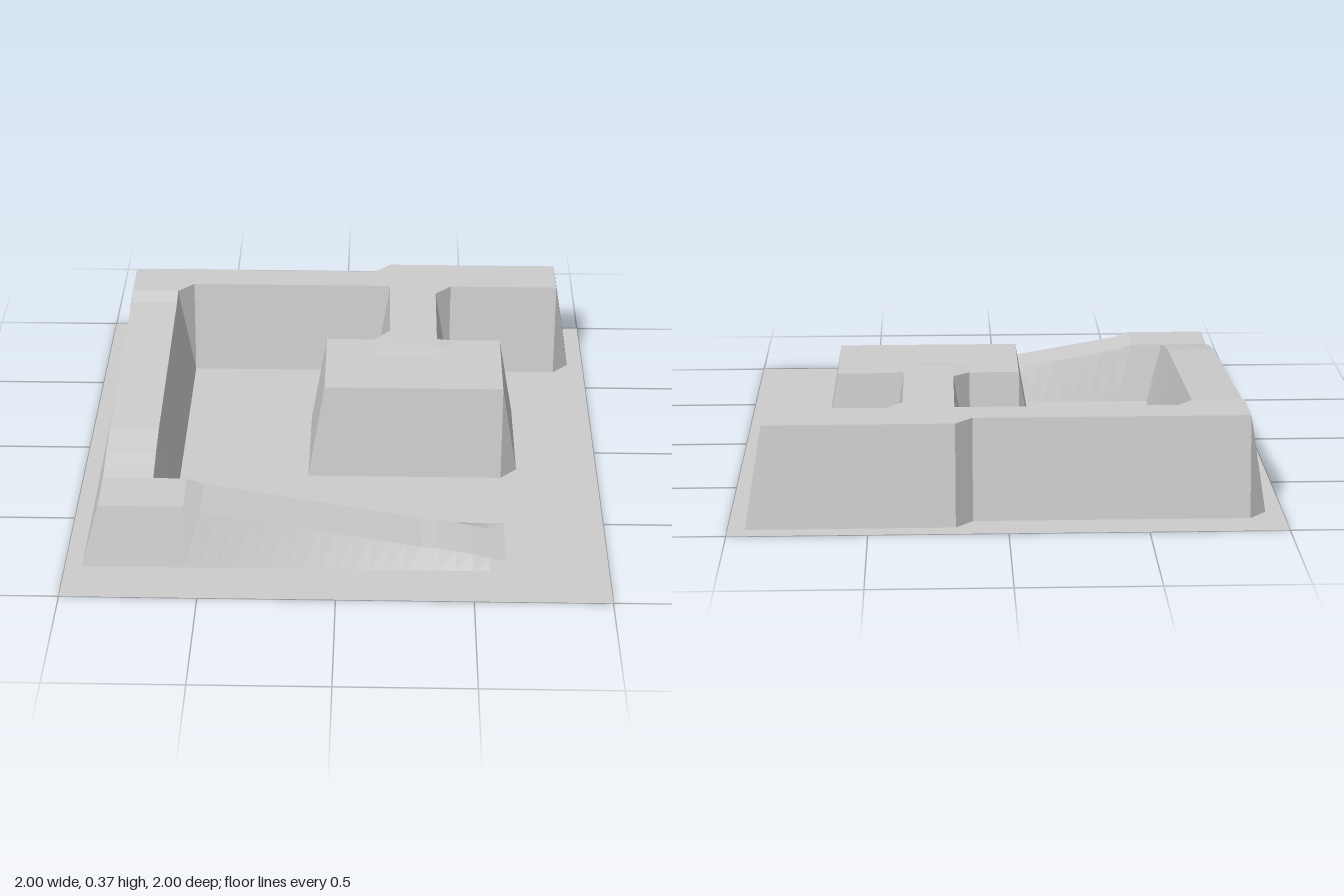
import * as THREE from 'three';

const SEGMENTS = 32;
const TOP = 0.37;

// Piecewise-linear height along a path: points are [position, height] pairs.
function profile(points, t) {
  if (t <= points[0][0]) return points[0][1];
  for (let i = 1; i < points.length; i++) {
    const [t0, h0] = points[i - 1];
    const [t1, h1] = points[i];
    if (t <= t1) return THREE.MathUtils.mapLinear(t, t0, t1, h0, h1);
  }
  return points[points.length - 1][1];
}

// Descent along the left causeway (by z) and the front ramp (by x).
const causeway = [[-0.625, TOP], [-0.5625, 0.35], [0.125, 0.296], [0.3125, 0.281],
  [0.375, 0.268], [0.4375, 0.258], [0.5, 0.242], [0.5625, 0.227]];
const ramp = [[-0.5625, 0.227], [-0.5, 0.205], [0.25, 0.073], [0.3125, 0.061],
  [0.375, 0.056], [0.4375, 0.044], [0.5, 0.032], [0.5625, 0.016], [0.625, 0]];

// Raised areas: x range, z range and a height rule; the first match wins.
const plateaus = [
  { x: [-0.875, -0.6875], z: [-0.8125, 0.5625], height: (x, z) => profile(causeway, z) }, // left causeway
  { x: [-0.875, 0.5625], z: [0.5625, 0.75], height: (x) => profile(ramp, x) },            // front ramp
  { x: [-0.875, 0.1875], z: [-0.8125, -0.6875], height: () => TOP },                      // rear walk
  { x: [0.1875, 0.875], z: [-0.875, -0.6875], height: () => TOP },                        // rear platform
  { x: [0.1875, 0.375], z: [-0.6875, -0.1875], height: () => TOP },                       // bridge
  { x: [-0.0625, 0.625], z: [-0.25, 0.125], height: () => 0.365 },                        // central platform
];

function heightAt(x, z) {
  const within = (v, [lo, hi]) => v > lo - 0.001 && v < hi + 0.001;
  const area = plateaus.find((p) => within(x, p.x) && within(z, p.z));
  return area ? area.height(x, z) : 0;
}

export function createModel() {
  const group = new THREE.Group();
  group.name = 'terrain';

  const stone = new THREE.MeshStandardMaterial({ color: 0xcccccc, flatShading: true, side: THREE.DoubleSide });
  stone.name = 'grey stone';

  // One grid sheet; each raised area slopes down to the ground within one cell
  const sheet = new THREE.PlaneGeometry(2, 2, SEGMENTS, SEGMENTS).rotateX(-Math.PI / 2);
  const position = sheet.attributes.position;
  for (let i = 0; i < position.count; i++) {
    position.setY(i, heightAt(position.getX(i), position.getZ(i)));
  }
  const geometry = sheet.toNonIndexed();
  geometry.computeVertexNormals();

  const ground = new THREE.Mesh(geometry, stone);
  ground.name = 'groundWithRaisedPaths';
  group.add(ground);
  return group;
}
